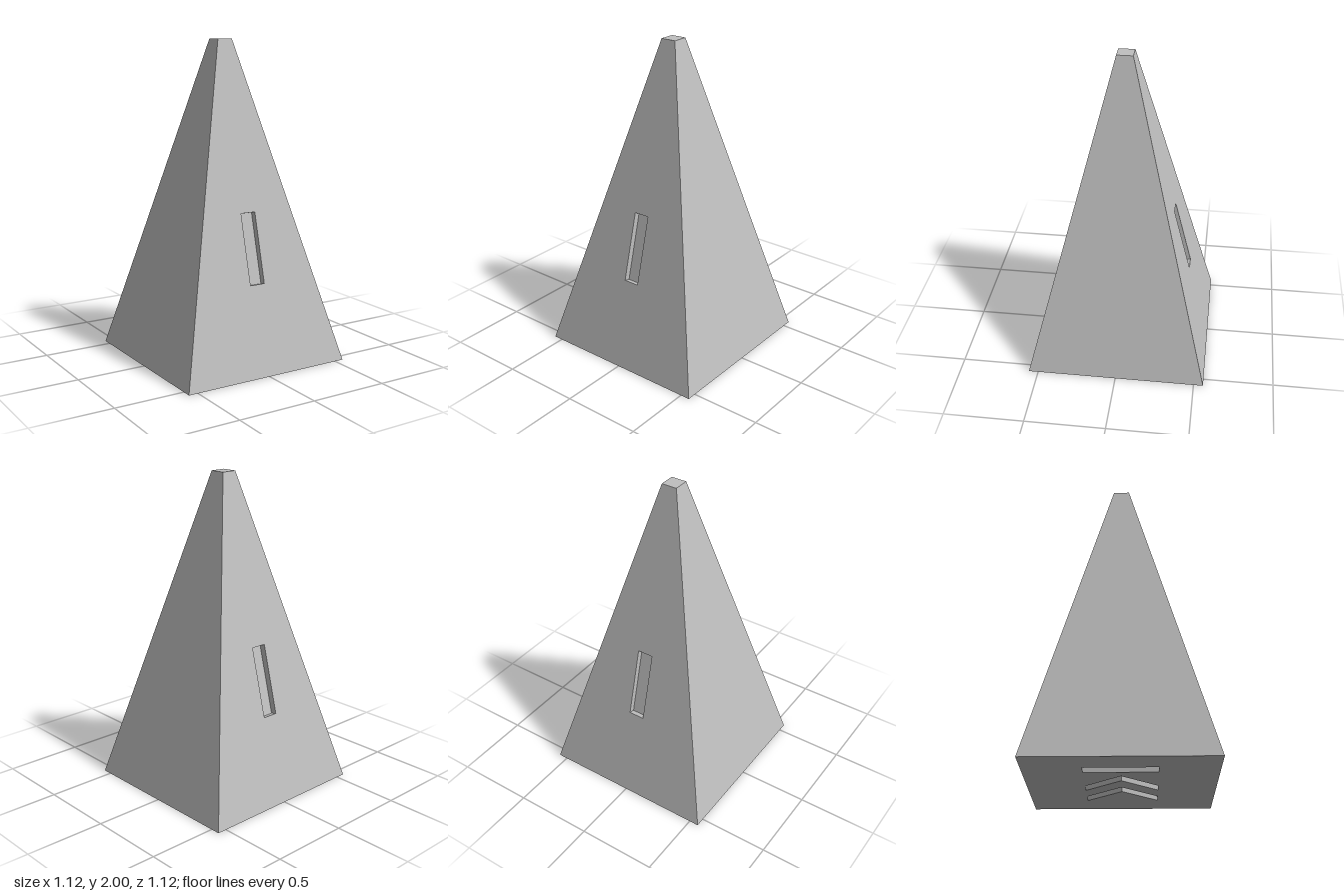
import * as THREE from 'three';

const HALF_BASE = 0.56, HALF_TOP = 0.05, HEIGHT = 2, DEPTH = 0.038;

const toPoints = (list) => list.map(([x, y]) => new THREE.Vector2(x, y));

// Recessed walls that face into the pocket, from a closed outline
function wallGeometry(points, depth) {
  const loop = THREE.ShapeUtils.isClockWise(points) ? [...points].reverse() : points;
  const pos = [];
  loop.forEach((a, i) => {
    const b = loop[(i + 1) % loop.length];
    pos.push(a.x, a.y, 0, b.x, b.y, 0, b.x, b.y, -depth);
    pos.push(a.x, a.y, 0, b.x, b.y, -depth, a.x, a.y, -depth);
  });
  const geometry = new THREE.BufferGeometry();
  geometry.setAttribute('position', new THREE.Float32BufferAttribute(pos, 3));
  geometry.computeVertexNormals();
  return geometry;
}

// Flat panel in the local xy plane, with pockets sunk towards -z
function makePanel(name, outline, pockets, material) {
  const panel = new THREE.Group();
  panel.name = name;
  const add = (part, geometry) => {
    const mesh = new THREE.Mesh(geometry, material);
    mesh.name = part;
    panel.add(mesh);
    return mesh;
  };
  const face = new THREE.Shape(toPoints(outline));
  for (const pocket of pockets) {
    const points = toPoints(pocket);
    face.holes.push(new THREE.Path(points));
    add('grooveWalls', wallGeometry(points, DEPTH));
    add('grooveFloor', new THREE.ShapeGeometry(new THREE.Shape(points))).position.z = -DEPTH;
  }
  add('panelFace', new THREE.ShapeGeometry(face));
  return panel;
}

const rect = (x0, x1, y0, y1) => [[x0, y0], [x1, y0], [x1, y1], [x0, y1]];

// V-shaped groove pointing to -x
const chevron = (tip) => [
  [tip, 0], [tip + 0.205, -0.215], [tip + 0.3, -0.215],
  [tip + 0.095, 0], [tip + 0.3, 0.215], [tip + 0.205, 0.215],
];

export function createModel() {
  const model = new THREE.Group();
  model.name = 'taperedBlock';
  const grey = new THREE.MeshStandardMaterial({ color: 0xbfbfbf });
  grey.name = 'lightGrey';

  // Four sloping sides, with a slot in the front and the back
  const run = HALF_BASE - HALF_TOP;
  const slope = Math.hypot(HEIGHT, run);
  const trapezoid = [[-HALF_BASE, 0], [HALF_BASE, 0], [HALF_TOP, slope], [-HALF_TOP, slope]];
  const slot = rect(-0.05, 0.05, 0.557, 0.995);
  ['frontSide', 'leftSide', 'backSide', 'rightSide'].forEach((name, i) => {
    const panel = makePanel(name, trapezoid, i % 2 === 0 ? [slot] : [], grey);
    panel.rotation.x = -Math.atan2(run, HEIGHT);
    panel.position.z = HALF_BASE;
    const pivot = new THREE.Group();
    pivot.name = name + 'Pivot';
    pivot.rotation.y = i * Math.PI / 2;
    pivot.add(panel);
    model.add(pivot);
  });

  // Small flat top
  const cap = makePanel('flatTop', rect(-HALF_TOP, HALF_TOP, -HALF_TOP, HALF_TOP), [], grey);
  cap.rotation.x = -Math.PI / 2;
  cap.position.y = HEIGHT;
  model.add(cap);

  // Underside with two V grooves and a straight groove
  const base = makePanel(
    'underside',
    rect(-HALF_BASE, HALF_BASE, -HALF_BASE, HALF_BASE),
    [chevron(0.05), chevron(-0.185), rect(-0.355, -0.26, -0.215, 0.215)],
    grey,
  );
  base.rotation.x = Math.PI / 2;
  model.add(base);

  return model;
}
